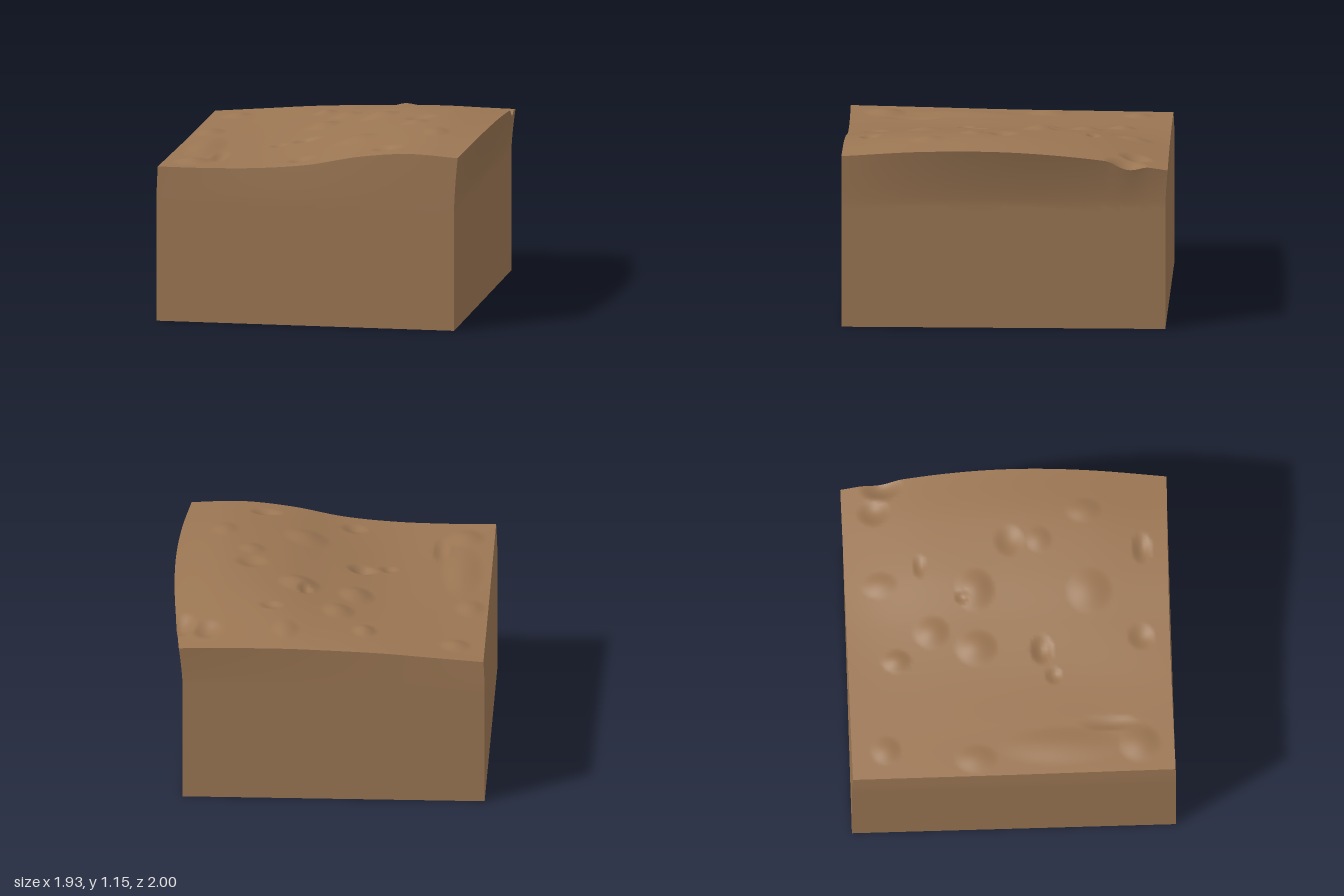
import * as THREE from 'three';
import { ParametricGeometry } from 'three/addons/geometries/ParametricGeometry.js';

// Ground heights on a coarse grid: columns run left to right, rows back to front
const HEIGHTS = [
  [0.93, 0.955, 0.98, 0.995, 1.005, 1.005, 1.0],
  [0.935, 0.955, 0.985, 1.035, 1.09, 1.1, 1.08],
  [0.94, 0.955, 0.98, 1.04, 1.11, 1.14, 1.12],
  [0.95, 0.955, 0.972, 1.03, 1.1, 1.135, 1.115],
  [0.96, 0.96, 0.97, 1.0, 1.06, 1.09, 1.075],
];

// Small mounds and dents: x, z, radius x, radius z, height
const LUMPS = [
  [-0.78, -0.77, 0.1, 0.1, 0.012], [-0.22, -0.69, 0.08, 0.1, 0.015],
  [0.26, -0.78, 0.09, 0.12, 0.01], [0.74, -0.8, 0.1, 0.11, -0.02],
  [0.36, -0.53, 0.08, 0.05, -0.012], [-0.05, -0.47, 0.11, 0.12, 0.015],
  [-0.15, -0.2, 0.12, 0.14, 0.018], [0.2, -0.2, 0.14, 0.13, 0.02],
  [0.16, -0.27, 0.05, 0.06, -0.015], [-0.85, -0.22, 0.1, 0.14, 0.012],
  [0.5, 0.02, 0.11, 0.1, -0.015], [0.5, 0.2, 0.09, 0.09, 0.01],
  [-0.17, 0.2, 0.1, 0.08, -0.025], [-0.33, 0.27, 0.06, 0.06, -0.012],
  [0.18, 0.5, 0.15, 0.15, 0.014], [0.68, 0.48, 0.09, 0.12, 0.01],
  [-0.1, 0.81, 0.09, 0.09, -0.015], [0.44, 0.83, 0.11, 0.07, -0.018],
  [-0.78, 0.3, 0.13, 0.4, 0.012], [-0.78, 0.78, 0.13, 0.14, 0.016],
  [-0.64, 0.6, 0.06, 0.2, -0.012], [0.9, -0.75, 0.1, 0.14, -0.03],
];

const lerp = THREE.MathUtils.lerp;

// Catmull-Rom interpolation along an array, with t from 0 to 1
function spline(values, t) {
  const n = values.length - 1;
  const i = Math.min(Math.floor(t * n), n - 1);
  const f = t * n - i;
  const p1 = values[i], p2 = values[i + 1];
  const p0 = i > 0 ? values[i - 1] : 2 * p1 - p2;
  const p3 = i < n - 1 ? values[i + 2] : 2 * p2 - p1;
  const a = (p2 - p0) / 2, b = (p3 - p1) / 2;
  return p1 + f * (a + f * (3 * (p2 - p1) - 2 * a - b + f * (2 * (p1 - p2) + a + b)));
}

// Point on the ground; s goes left to right, t goes back to front
function groundPoint(s, t) {
  const rightEdge = 0.905 + 0.06 * Math.sin(Math.PI * t);
  const x = lerp(-0.957, rightEdge, s);
  const z = lerp(lerp(-0.978, -1, s), 0.995 - 0.01 * Math.sin(Math.PI * s), t);
  let y = spline(HEIGHTS.map((row) => spline(row, s)), t);
  for (const [cx, cz, rx, rz, h] of LUMPS) {
    const d = ((x - cx) / rx) ** 2 + ((z - cz) / rz) ** 2;
    if (d < 1) y += h * (1 - d) ** 2 * 1.4;
  }
  return [x, y, z];
}

// Point on the flat underside
const basePoint = (s, t) => [lerp(-0.965, 0.883, s), 0, lerp(-0.985, 0.995, t)];

export function createModel() {
  const group = new THREE.Group();
  const soil = new THREE.MeshStandardMaterial({ color: 0x9b7653 });
  soil.name = 'soil brown';

  const addPart = (name, fn, slices, stacks) => {
    const mesh = new THREE.Mesh(new ParametricGeometry(fn, slices, stacks), soil);
    mesh.name = name;
    group.add(mesh);
  };

  // Lumpy rolling top
  addPart('groundSurface', (u, v, out) => out.set(...groundPoint(v, u)), 96, 96);

  // Side walls: straight below, curving out to meet the ground edge above
  const addWall = (name, edge) => addPart(name, (u, v, out) => {
    const [s, t] = edge(u);
    const [tx, ty, tz] = groundPoint(s, t);
    const [bx, , bz] = basePoint(s, t);
    const y = ty * v;
    const flare = Math.max(0, (y - 0.76) / (ty - 0.76)) ** 1.4;
    out.set(lerp(bx, tx, flare), y, lerp(bz, tz, flare));
  }, 96, 28);
  addWall('frontWall', (u) => [u, 1]);
  addWall('backWall', (u) => [1 - u, 0]);
  addWall('leftWall', (u) => [1, 1 - u]);
  addWall('rightWall', (u) => [0, u]);

  // Flat underside
  addPart('underside', (u, v, out) => out.set(...basePoint(u, v)), 1, 1);

  return group;
}
